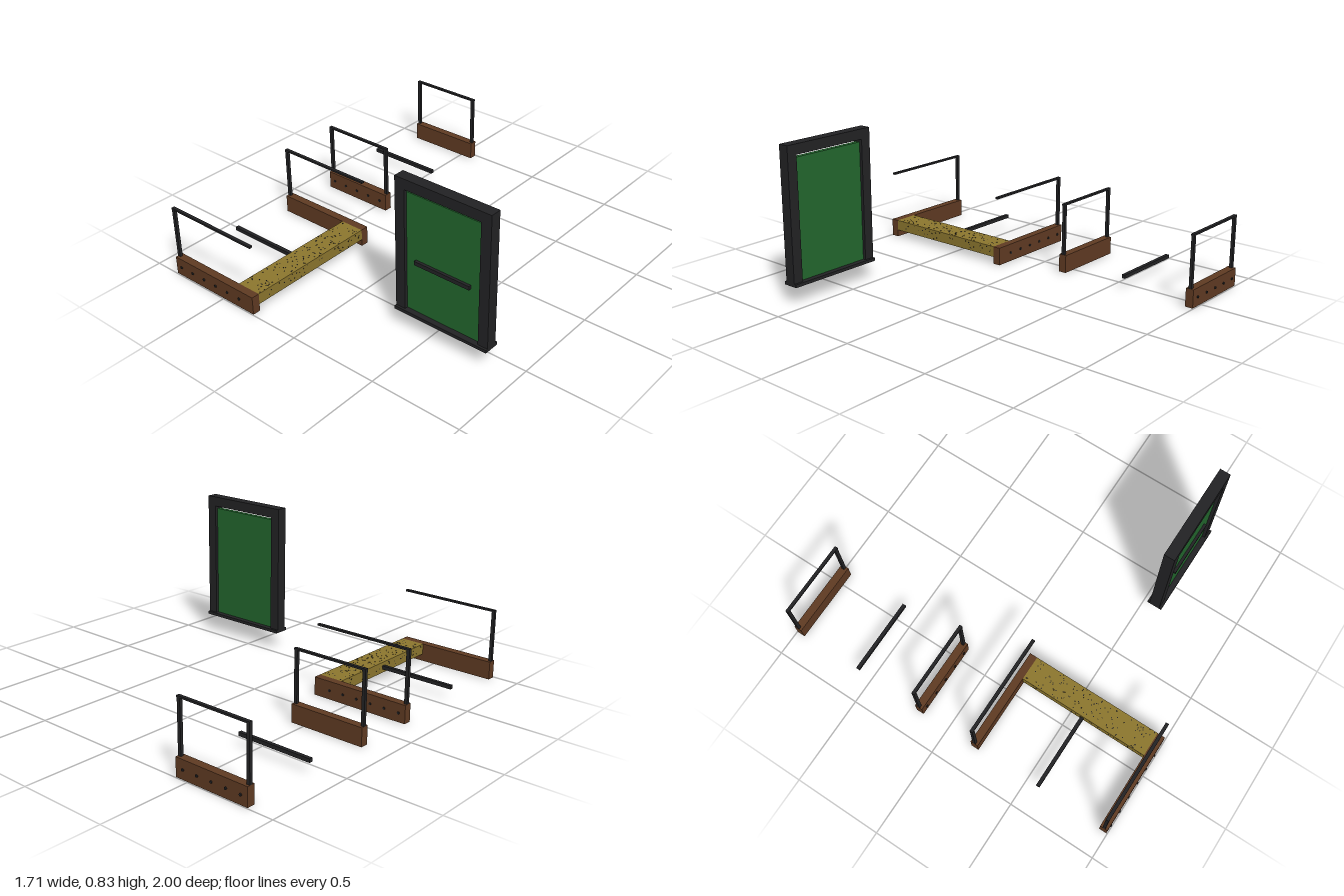
import * as THREE from 'three';

const material = (name, color) => {
  const m = new THREE.MeshStandardMaterial({ color });
  m.name = name;
  return m;
};

export function createModel() {
  const model = new THREE.Group();
  model.name = 'platformAndDoor';
  const wood = material('brown wood', 0x5f3a22);
  const metal = material('dark metal', 0x222224);
  const green = material('green door', 0x22662d);
  const deckColor = material('olive deck', 0x8c762e);

  // Box given by its minimum and maximum corners
  const box = (parent, name, mat, x0, x1, y0, y1, z0, z1) => {
    const mesh = new THREE.Mesh(new THREE.BoxGeometry(x1 - x0, y1 - y0, z1 - z0), mat);
    mesh.position.set((x0 + x1) / 2, (y0 + y1) / 2, (z0 + z1) / 2);
    mesh.name = name;
    parent.add(mesh);
    return mesh;
  };

  const left = -0.855;
  const boltGeometry = new THREE.CylinderGeometry(0.007, 0.007, 0.01, 8).rotateX(Math.PI / 2);

  // Wooden beam with a handrail, posts and a row of bolts on one face
  const railing = (name, z, right, boltSide, posts, bolts) => {
    const g = new THREE.Group();
    g.name = name;
    box(g, 'beam', wood, left, right, 0, 0.1, z - 0.022, z + 0.022);
    box(g, 'handrail', metal, left, right, 0.38, 0.39, z - 0.009, z + 0.009);
    for (const x of posts) box(g, 'post', metal, x - 0.009, x + 0.009, 0.1, 0.381, z - 0.008, z + 0.008);
    for (let i = 0; i < bolts; i++) {
      const bolt = new THREE.Mesh(boltGeometry, metal);
      bolt.name = 'bolt';
      bolt.position.set(-0.816 + i * 0.0865, 0.05, z + boltSide * 0.022);
      g.add(bolt);
    }
    model.add(g);
  };
  railing('frontRailing', 0.973, -0.285, 1, [-0.846], 6);
  railing('middleFrontRailing', 0.177, -0.285, -1, [-0.846], 6);
  railing('middleBackRailing', -0.177, -0.425, 1, [-0.846, -0.436], 5);
  railing('backRailing', -0.973, -0.425, -1, [-0.846, -0.436], 5);

  // Low cross bars between the beams
  for (const z of [0.573, -0.576]) box(model, 'crossBar', metal, left, -0.425, 0.06, 0.08, z - 0.01, z + 0.01);

  // Walkway deck with small dark flecks
  box(model, 'deck', deckColor, -0.425, -0.285, 0.04, 0.1, 0.199, 0.951);
  let seed = 7;
  const random = () => (seed = (seed * 16807) % 2147483647) / 2147483647;
  const flecks = new THREE.InstancedMesh(new THREE.BoxGeometry(0.005, 0.002, 0.005), metal, 1);
  for (let i = 0; i < 120; i++) {
    const x = -0.42 + 0.13 * random();
    const z = 0.21 + 0.73 * random();
    const f = new THREE.Mesh(flecks.geometry, metal);
    f.name = 'deckFleck';
    f.position.set(x, 0.1, z);
    model.add(f);
  }
  for (const x of [-0.425, -0.285]) {
    for (let i = 0; i < 30; i++) {
      const f = new THREE.Mesh(flecks.geometry, metal);
      f.name = 'deckSideFleck';
      f.rotation.z = Math.PI / 2;
      f.position.set(x, 0.046 + 0.048 * random(), 0.21 + 0.73 * random());
      model.add(f);
    }
  }

  // Door frame with sill, panel and push bar
  const door = new THREE.Group();
  door.name = 'door';
  const z = 0.574;
  box(door, 'sill', metal, 0.307, 0.853, 0.1, 0.117, z - 0.043, z + 0.043);
  for (const x of [0.307, 0.797]) box(door, 'jamb', metal, x, x + 0.056, 0.117, 0.777, z - 0.03, z + 0.03);
  box(door, 'lintel', metal, 0.307, 0.853, 0.777, 0.832, z - 0.03, z + 0.03);
  box(door, 'doorPanel', green, 0.363, 0.797, 0.117, 0.76, z - 0.013, z + 0.013);
  box(door, 'pushBar', metal, 0.418, 0.738, 0.391, 0.412, z + 0.013, z + 0.028);
  model.add(door);
  return model;
}
